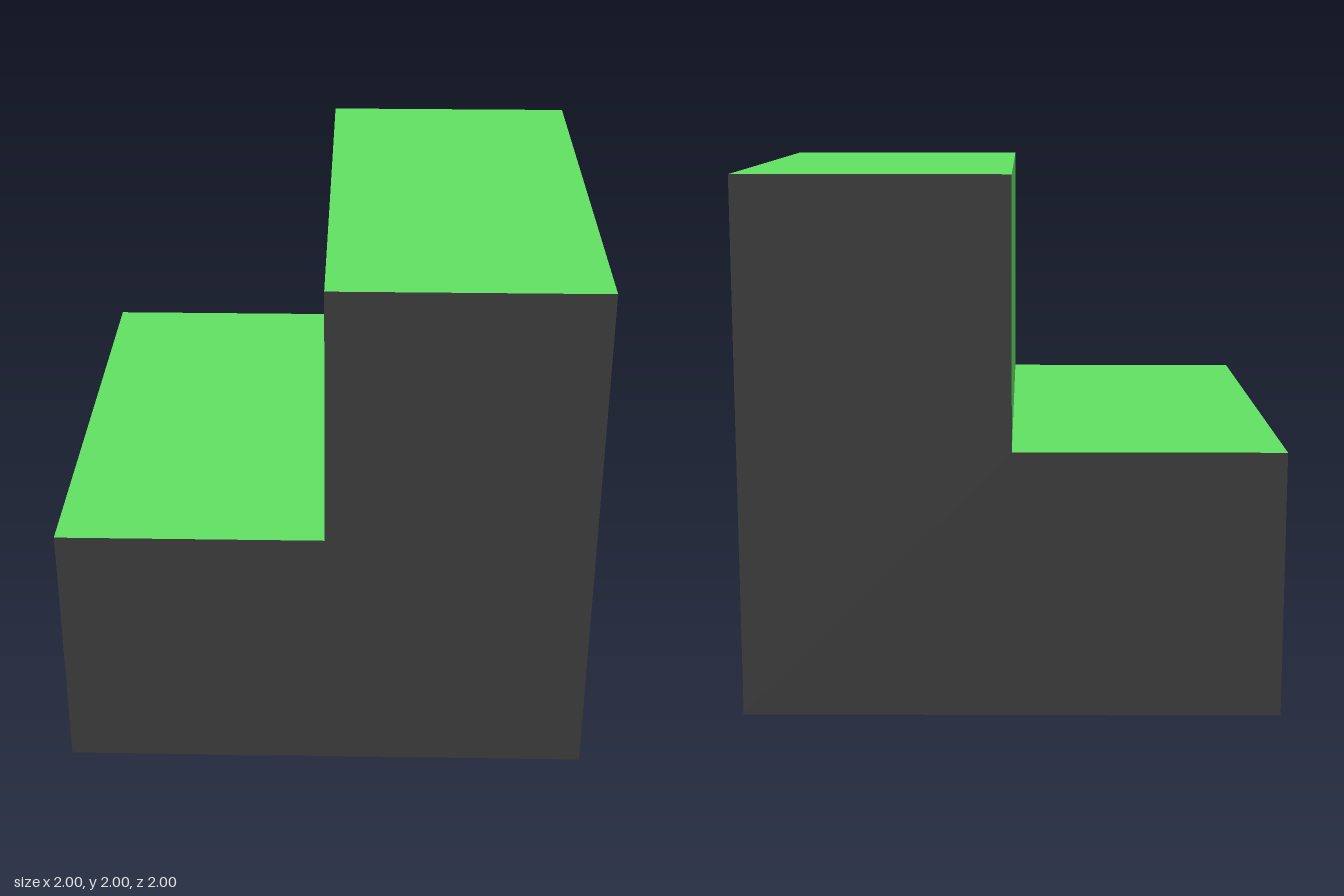
import * as THREE from 'three';

// Two-step stair profile, climbing towards +x
const PROFILE = [[-1, 0], [1, 0], [1, 2], [0, 2], [0, 1], [-1, 1]];

// Keeps only the flat triangles whose normal passes the test
function pickFaces(geometry, test) {
  const pos = geometry.attributes.position;
  const tri = new THREE.Triangle();
  const normal = new THREE.Vector3();
  const points = [];
  for (let i = 0; i < pos.count; i += 3) {
    tri.setFromAttributeAndIndices(pos, i, i + 1, i + 2);
    tri.getNormal(normal);
    if (test(normal)) points.push(tri.a.clone(), tri.b.clone(), tri.c.clone());
  }
  const picked = new THREE.BufferGeometry().setFromPoints(points);
  picked.computeVertexNormals();
  return picked;
}

export function createModel() {
  const model = new THREE.Group();
  model.name = 'stairBlock';

  const shape = new THREE.Shape(PROFILE.map(([x, y]) => new THREE.Vector2(x, y)));
  const solid = new THREE.ExtrudeGeometry(shape, { depth: 2, bevelEnabled: false });
  solid.translate(0, 0, -1);

  // Treads and risers are green; the front, back, tall side and base are dark
  const isStep = (n) => n.y > 0.5 || n.x < -0.5;
  const addPart = (name, color, test) => {
    const mesh = new THREE.Mesh(pickFaces(solid, test), new THREE.MeshStandardMaterial({ color }));
    mesh.name = name;
    model.add(mesh);
  };
  addPart('treadsAndRisers', 0x60e062, isStep);
  addPart('blockBody', 0x3c3c3c, (n) => !isStep(n));

  return model;
}
